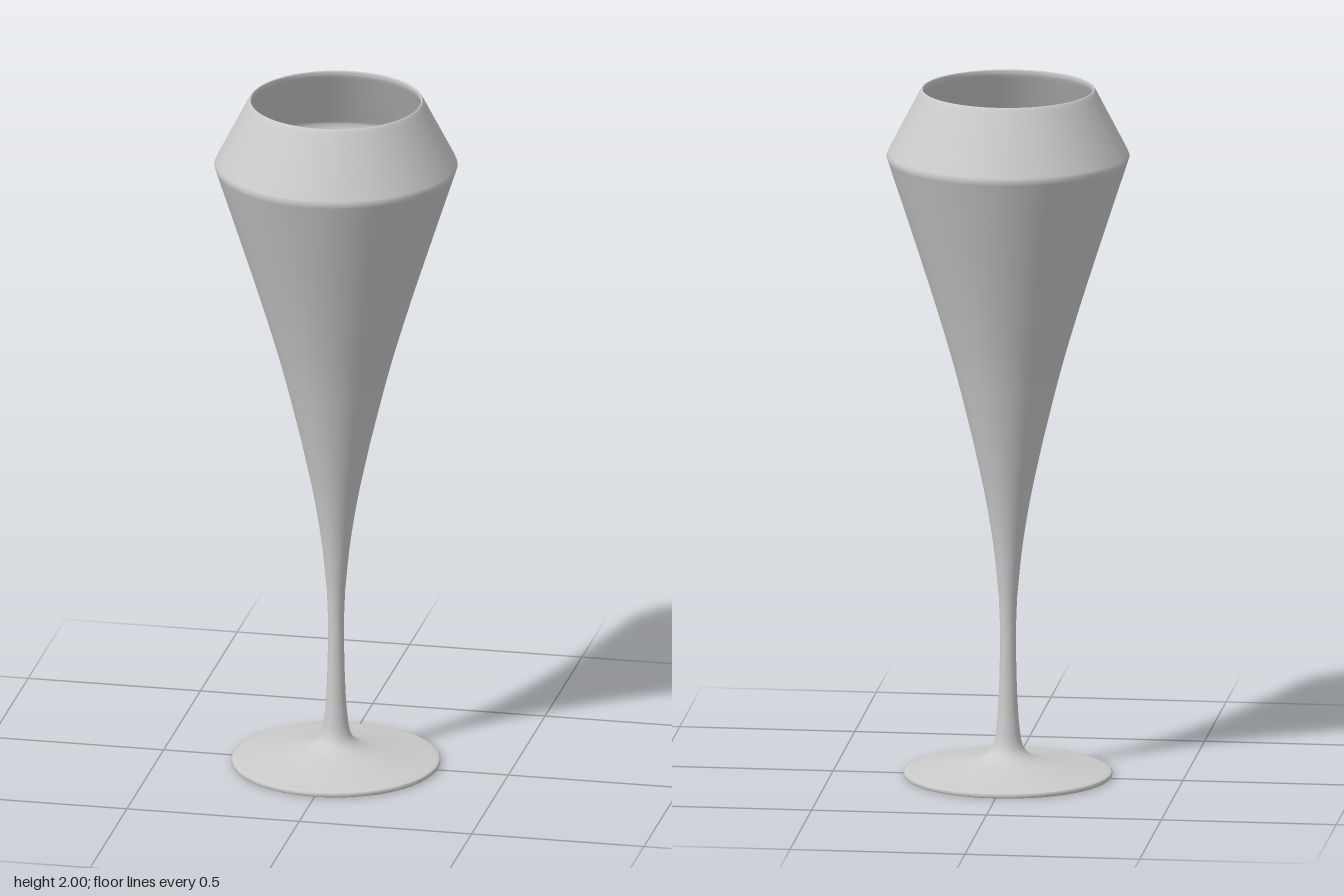
import * as THREE from 'three';

const SEGMENTS = 96;
const material = new THREE.MeshStandardMaterial({ color: 0xcccccc, side: THREE.DoubleSide });

// Smooth run of [radius, height] points
function smooth(points, steps) {
  return new THREE.SplineCurve(points.map(([r, y]) => new THREE.Vector2(r, y))).getPoints(steps);
}

// Straight run of [radius, height] points
function straight(points) {
  return points.map(([r, y]) => new THREE.Vector2(r, y));
}

function turned(name, profile) {
  profile.forEach((p) => { p.x = Math.max(p.x, 0); });
  const mesh = new THREE.Mesh(new THREE.LatheGeometry(profile, SEGMENTS), material);
  mesh.name = name;
  return mesh;
}

export function createModel() {
  const glass = new THREE.Group();
  glass.name = 'fluteGlass';

  // Flat disc underneath, thin rim, then a sweep up to the stem
  glass.add(turned('foot', [
    ...straight([[0, 0], [0.288, 0], [0.293, 0.001], [0.296, 0.004], [0.296, 0.012]]),
    ...smooth([[0.292, 0.015], [0.22, 0.025], [0.15, 0.037], [0.09, 0.051], [0.055, 0.07],
      [0.039, 0.1], [0.032, 0.15], [0.028, 0.2], [0.024, 0.3], [0.023, 0.38]], 40),
  ]));

  // Slender stem
  glass.add(turned('stem', smooth([[0.023, 0.38], [0.023, 0.44], [0.026, 0.52]], 8)));

  // Outer wall flares to the shoulder, tapers to the lip, and the inner wall returns to the bottom
  glass.add(turned('bowl', [
    ...smooth([[0.026, 0.52], [0.04, 0.66], [0.062, 0.8], [0.087, 0.92], [0.105, 1],
      [0.155, 1.2], [0.214, 1.4], [0.278, 1.6], [0.341, 1.794]], 48),
    ...straight([[0.345, 1.806], [0.341, 1.817], [0.258, 1.978]]),
    ...smooth([[0.255, 1.984], [0.25, 1.993], [0.245, 2], [0.241, 1.998], [0.242, 1.985]], 10),
    ...straight([[0.247, 1.975], [0.329, 1.816], [0.333, 1.806], [0.329, 1.794]]),
    ...smooth([[0.327, 1.787], [0.266, 1.6], [0.202, 1.4], [0.143, 1.2], [0.093, 1],
      [0.06, 0.85], [0.044, 0.78], [0.03, 0.735], [0.015, 0.715], [0, 0.71]], 48),
  ]));

  return glass;
}
